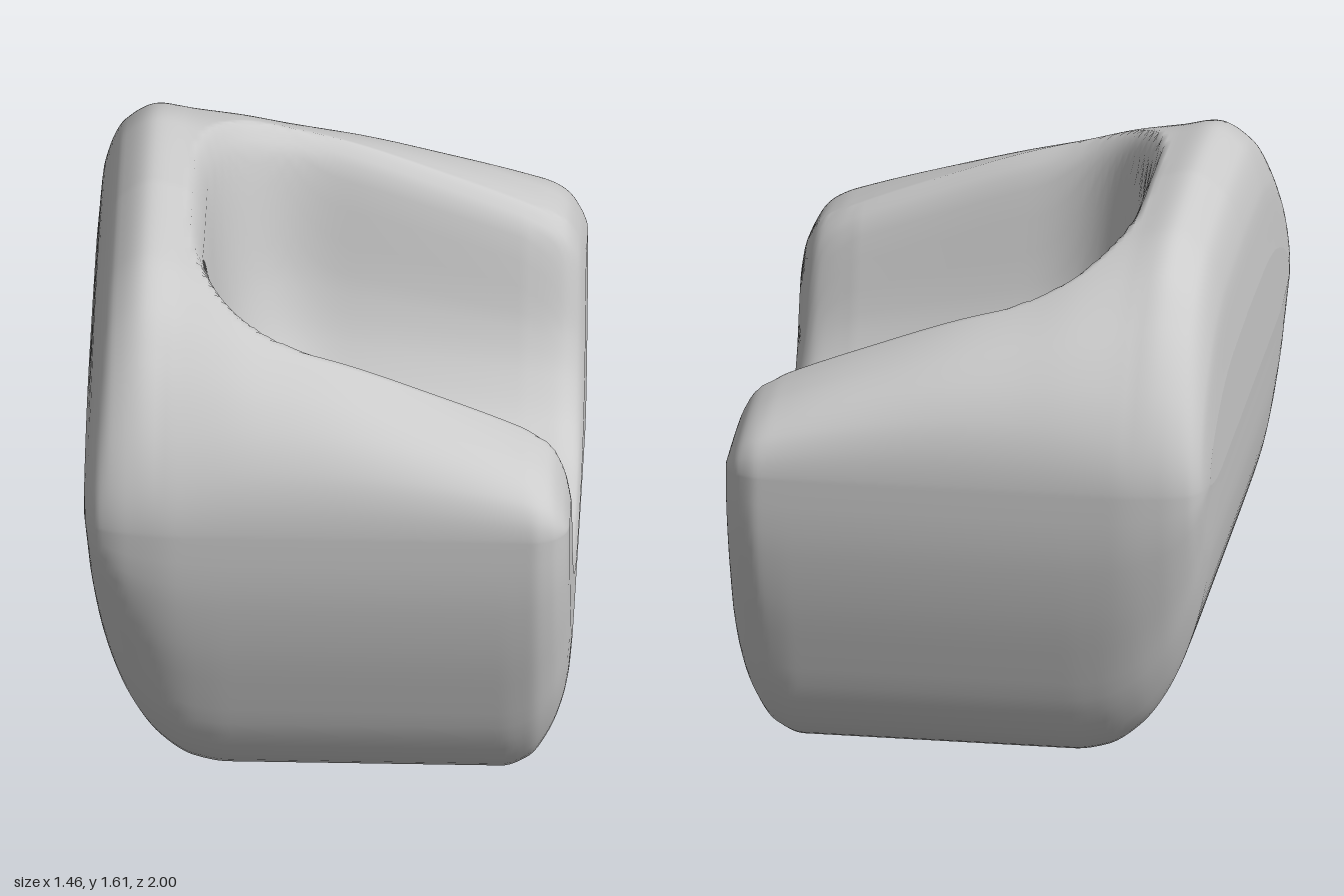
import * as THREE from 'three';

// Monotone cubic interpolation through [input, output] pairs
function curve(points) {
  const n = points.length;
  const slope = points.slice(1).map((p, i) => (p[1] - points[i][1]) / (p[0] - points[i][0]));
  const tangent = points.map((p, i) => {
    if (i === 0) return slope[0];
    if (i === n - 1) return slope[n - 2];
    const a = slope[i - 1], b = slope[i];
    return a * b <= 0 ? 0 : (2 * a * b) / (a + b);
  });
  return (x) => {
    if (x <= points[0][0]) return points[0][1];
    if (x >= points[n - 1][0]) return points[n - 1][1];
    let i = 0;
    while (x > points[i + 1][0]) i++;
    const h = points[i + 1][0] - points[i][0], t = (x - points[i][0]) / h;
    const t2 = t * t, t3 = t2 * t;
    return (2 * t3 - 3 * t2 + 1) * points[i][1] + (t3 - 2 * t2 + t) * h * tangent[i]
      + (3 * t2 - 2 * t3) * points[i + 1][1] + (t3 - t2) * h * tangent[i + 1];
  };
}

// Outlines along the depth of the chair (x: back to front)
const crest = curve([[-0.73, 1.18], [-0.71, 1.4], [-0.65, 1.55], [-0.55, 1.61], [-0.44, 1.58],
  [-0.3, 1.54], [-0.15, 1.48], [0.05, 1.4], [0.3, 1.285], [0.55, 1.17], [0.62, 1.135],
  [0.67, 1.1], [0.71, 1.03], [0.725, 0.98], [0.73, 0.955]]);
const underside = curve([[-0.73, 0.9], [-0.71, 0.65], [-0.66, 0.4], [-0.58, 0.2], [-0.5, 0.09],
  [-0.4, 0.02], [-0.3, 0], [0.52, 0], [0.6, 0.035], [0.66, 0.12], [0.7, 0.22], [0.72, 0.31], [0.73, 0.41]]);
const widthScale = curve([[-0.73, 0.83], [-0.725, 0.88], [-0.715, 0.92], [-0.68, 0.96], [-0.6, 0.985],
  [-0.45, 1], [0.62, 1], [0.68, 0.98], [0.71, 0.95], [0.725, 0.92], [0.73, 0.88]]);
const seatHeight = curve([[-0.4, 0.53], [0.3, 0.51], [0.64, 0.5], [0.69, 0.49], [0.72, 0.47], [0.73, 0.44]]);
const seatHalfWidth = curve([[0.55, 0.58], [0.66, 0.595], [0.71, 0.62], [0.73, 0.66]]);

// Lower half of the cross-section, from bottom centre to the widest point
const sideZ = curve([[0, 0], [0.3, 0.4], [0.48, 0.68], [0.54, 0.74], [0.65, 0.84], [0.75, 0.9],
  [0.87, 0.964], [0.95, 0.995], [1, 1]]);
const sideY = curve([[0, 0], [0.3, 0], [0.48, 0.005], [0.54, 0.03], [0.65, 0.17], [0.75, 0.35],
  [0.87, 0.6], [0.95, 0.81], [1, 0.95]]);

// Roundness of the top by angle from the side: flat armrests, domed back
const armTop = curve([[0, 0], [0.14, 0.35], [0.28, 0.61], [0.49, 0.86], [0.64, 0.96], [0.8, 1], [1.571, 1]]);
const backTop = curve([[0, 0], [0.245, 0.25], [0.451, 0.46], [0.723, 0.72], [0.927, 0.88], [1.16, 0.97], [1.571, 1]]);

// Wall of the seat hollow, from its middle to the rim
const hollow = curve([[0, 0], [0.35, 0.03], [0.6, 0.12], [0.8, 0.3], [0.92, 0.52], [0.98, 0.75], [1.03, 0.91], [1.12, 1]]);

function topHeight(x, angle, z) {
  const dome = 1 - THREE.MathUtils.clamp((x + 0.5) / 1.1, 0, 1);
  const round = THREE.MathUtils.lerp(armTop(angle), backTop(angle), dome);
  const rim = 0.95 + (crest(x) - 0.95) * round;
  const across = Math.abs(z) / seatHalfWidth(x);
  const behind = Math.max(0, (0.05 - x) / 0.43);
  const reach = Math.cbrt(across ** 3 + behind ** 3);
  const floor = seatHeight(x);
  return floor + hollow(reach) * (rim - floor);
}

// One closed cross-section as (z, y) points
function section(x) {
  const LOW = 32, TOP = 150;
  const base = underside(x), scale = widthScale(x);
  const low = (s, side) => new THREE.Vector2(side * sideZ(s) * scale,
    base + (0.95 - base) * sideY(s) / 0.95);
  const loop = [];
  for (let i = 0; i < LOW; i++) loop.push(low(i / LOW, 1));
  for (let i = 0; i <= TOP; i++) {
    const angle = Math.PI * i / TOP;
    const z = Math.cos(angle) * scale;
    loop.push(new THREE.Vector2(z, topHeight(x, Math.min(angle, Math.PI - angle), z)));
  }
  for (let i = LOW - 1; i > 0; i--) loop.push(low(i / LOW, -1));
  return loop;
}

function bodyGeometry() {
  const STEPS = 100, positions = [], index = [], loops = [];
  for (let i = 0; i <= STEPS; i++) {
    const x = -0.73 * Math.cos(Math.PI * i / STEPS);
    const loop = section(x);
    loops.push(loop);
    for (const p of loop) positions.push(x, p.y, p.x);
  }
  const n = loops[0].length;
  for (let i = 0; i < STEPS; i++) {
    for (let j = 0; j < n; j++) {
      const k = (j + 1) % n;
      const a = i * n + j, b = (i + 1) * n + j, c = (i + 1) * n + k, d = i * n + k;
      index.push(a, b, c, a, c, d);
    }
  }
  // Flat back and front faces
  for (const [a, b, c] of THREE.ShapeUtils.triangulateShape(loops[0], [])) index.push(a, b, c);
  const last = STEPS * n;
  for (const [a, b, c] of THREE.ShapeUtils.triangulateShape(loops[STEPS], [])) {
    index.push(last + a, last + c, last + b);
  }
  const geometry = new THREE.BufferGeometry();
  geometry.setAttribute('position', new THREE.Float32BufferAttribute(positions, 3));
  geometry.setIndex(index);
  geometry.computeVertexNormals();
  return geometry;
}

export function createModel() {
  const group = new THREE.Group();
  group.name = 'armchair';
  const body = new THREE.Mesh(bodyGeometry(), new THREE.MeshStandardMaterial({ color: 0xcccccc }));
  body.name = 'upholsteredBody';
  group.add(body);
  return group;
}
